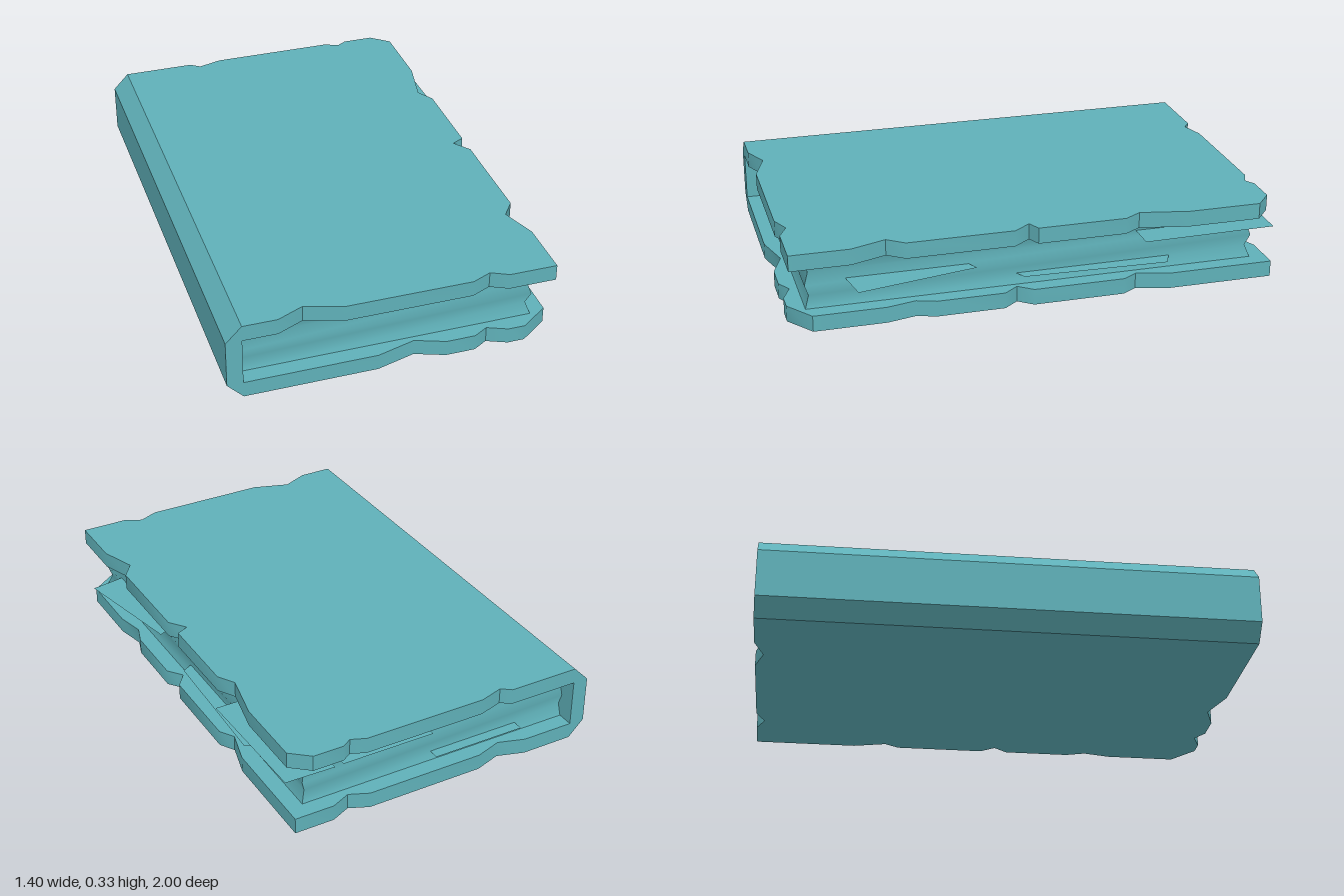
import * as THREE from 'three';
import { toCreasedNormals } from 'three/addons/utils/BufferGeometryUtils.js';

const H = 0.333, T = 0.067, XS = -0.64, XE = 0.627;

// Flat slab from an [x, z] outline, rising from y by height
function slab(outline, y, height) {
  const shape = new THREE.Shape(outline.map(([x, z]) => new THREE.Vector2(x, -z)));
  const geo = new THREE.ExtrudeGeometry(shape, { depth: height, bevelEnabled: false });
  geo.rotateX(-Math.PI / 2);
  geo.translate(0, y, 0);
  return toCreasedNormals(geo, 0.7);
}

export function createModel() {
  const group = new THREE.Group();
  const material = new THREE.MeshStandardMaterial({ color: 0x5fb0b8 });
  const thin = new THREE.MeshStandardMaterial({ color: 0x5fb0b8, side: THREE.DoubleSide });
  const add = (name, geo, mat = material) => {
    const mesh = new THREE.Mesh(geo, mat);
    mesh.name = name;
    group.add(mesh);
  };

  // Covers with worn notches along three edges and one broken corner each
  add('topCover', slab([
    [XS, 1], [-0.5, 1], [-0.39, 0.95], [-0.24, 1], [0.28, 1], [0.36, 0.965], [0.43, 1], [XE, 1],
    [XE, 0.757], [0.575, 0.61], [XE, 0.54], [XE, 0.1], [0.575, 0.03], [XE, 0.005],
    [XE, -0.36], [0.585, -0.43], [XE, -0.63], [XE, -0.935], [0.55, -1],
    [0.42, -1], [0.38, -0.975], [0.32, -1], [-0.2, -1], [-0.3, -0.97], [-0.34, -1], [XS, -1],
  ], H - T, T));
  add('bottomCover', slab([
    [XS, 1], [-0.1, 1], [0.06, 0.955], [0.18, 1], [0.3, 1], [0.36, 0.965], [0.44, 1], [0.51, 1], [XE, 0.915],
    [XE, 0.62], [0.6, 0.5], [XE, 0.42], [XE, 0.14], [0.58, 0.08], [XE, 0.02],
    [XE, -0.36], [0.59, -0.42], [XE, -0.56], [XE, -1],
    [0.46, -1], [0.38, -0.965], [0.3, -1], [-0.2, -1], [-0.31, -0.965], [-0.42, -1], [XS, -1],
  ], 0, T));

  // Spine with bevelled outer edges
  const profile = [[XS, 0], [XS, H], [-0.705, H - T], [-0.705, T]];
  const spine = new THREE.ExtrudeGeometry(
    new THREE.Shape(profile.map(([x, y]) => new THREE.Vector2(x, y))),
    { depth: 2, bevelEnabled: false });
  spine.translate(0, 0, -1);
  add('spine', toCreasedNormals(spine, 0.7));

  // Page block: stacked rings whose open edges ripple in and out
  const pos = [], index = [], levels = 4;
  for (let i = 0; i <= levels; i++) {
    const y = T + (H - 2 * T) * i / levels;
    const inset = (i % 2) * 0.017;
    const x = 0.56 - inset, z = 0.932 - inset;
    pos.push(XS, y, z, x, y, z, x, y, -z, XS, y, -z);
    if (i === levels) break;
    for (let s = 0; s < 4; s++) {
      const a = i * 4 + s, b = i * 4 + (s + 1) % 4;
      index.push(a, b, b + 4, a, b + 4, a + 4);
    }
  }
  const pages = new THREE.BufferGeometry();
  pages.setAttribute('position', new THREE.Float32BufferAttribute(pos, 3));
  pages.setIndex(index);
  add('pageBlock', toCreasedNormals(pages, 0.7));

  // Loose sheets slipping out between the pages: [height, outline]
  const sheets = [
    [0.24, [[0.45, -0.99], [0.66, -0.985], [0.672, -0.43], [0.45, -0.43]]],
    [0.18, [[0.5, 0.3], [0.6, 0.25], [0.7, 0.745], [0.5, 0.78]]],
    [0.11, [[0.5, -0.6], [0.61, -0.55], [0.59, 0.05], [0.5, 0.1]]],
    [0.22, [[0, -0.965], [0.4, -0.965], [0.4, -0.85], [0, -0.85]]],
    [0.1, [[-0.42, -0.965], [-0.02, -0.965], [-0.02, -0.85], [-0.42, -0.85]]],
  ];
  for (const [y, outline] of sheets) {
    const geo = new THREE.ShapeGeometry(
      new THREE.Shape(outline.map(([x, z]) => new THREE.Vector2(x, -z))));
    geo.rotateX(-Math.PI / 2);
    geo.translate(0, y, 0);
    add('looseSheet', geo, thin);
  }
  return group;
}
